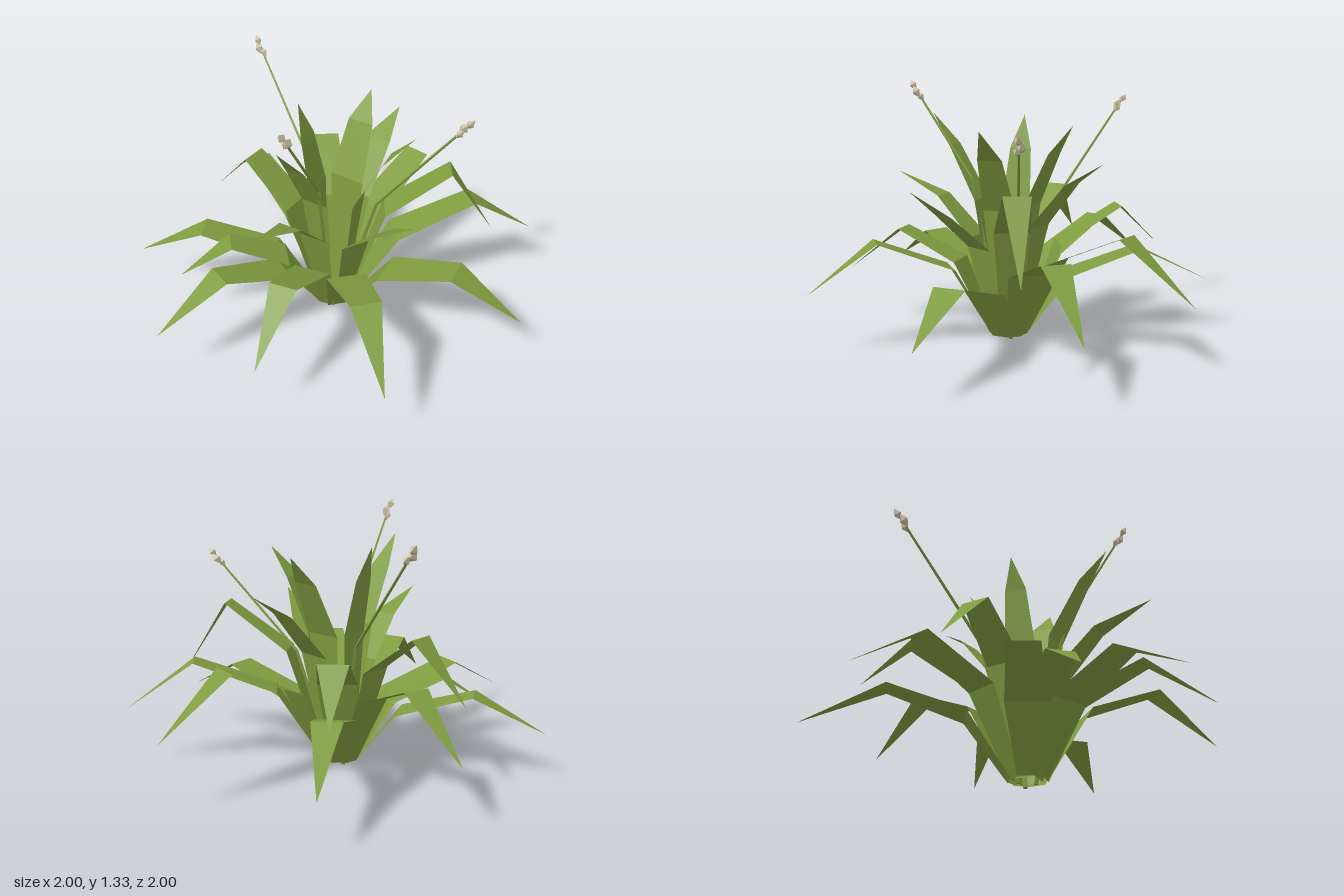
import * as THREE from 'three';

const leafGreen = new THREE.MeshStandardMaterial({ color: 0x7f9c40, flatShading: true, side: THREE.DoubleSide });
leafGreen.name = 'leaf green';
const budBeige = new THREE.MeshStandardMaterial({ color: 0xcabf9f, flatShading: true });
budBeige.name = 'bud beige';

// Point on the ground that all leaves grow out from
const crown = new THREE.Vector3(-0.03, 0, 0.05);

// Folded strap leaf: narrow foot, wide middle, bend, pointed tip
function makeLeaf([tipX, tipY, tipZ, bendReach, bendY, width], footReach) {
  const reach = Math.hypot(tipX - crown.x, tipZ - crown.z);
  const dx = (tipX - crown.x) / reach, dz = (tipZ - crown.z) / reach;
  const rows = [
    [footReach, 0.02, width * 0.48],
    [0.03 + bendReach * 0.4, bendY * 0.72, width],
    [bendReach, bendY, width * 0.74],
    [reach, tipY, 0],
  ];
  const points = [], index = [];
  for (const [r, y, w] of rows)
    for (const side of [-0.5, 0.5])
      points.push(crown.x + dx * r - dz * w * side, y, crown.z + dz * r + dx * w * side);
  for (let i = 0; i < 3; i++) {
    const a = i * 2;
    index.push(a, a + 2, a + 1);
    if (i < 2) index.push(a + 1, a + 2, a + 3);
  }
  const geometry = new THREE.BufferGeometry();
  geometry.setAttribute('position', new THREE.Float32BufferAttribute(points, 3));
  geometry.setIndex(index);
  geometry.computeVertexNormals();
  return new THREE.Mesh(geometry, leafGreen);
}

// Straight stem section between two points
function makeRod(from, to, r0, r1) {
  const geometry = new THREE.CylinderGeometry(r1, r0, from.distanceTo(to), 4);
  const rod = new THREE.Mesh(geometry, leafGreen);
  rod.position.copy(from).add(to).multiplyScalar(0.5);
  rod.quaternion.setFromUnitVectors(new THREE.Vector3(0, 1, 0), to.clone().sub(from).normalize());
  rod.name = 'stemSection';
  return rod;
}

// Kinked stem with a cluster of faceted buds
function makeFlowerStem([kink, end]) {
  const group = new THREE.Group();
  const k = new THREE.Vector3(...kink), e = new THREE.Vector3(...end);
  const foot = crown.clone().lerp(new THREE.Vector3(k.x, 0, k.z), 0.2);
  group.add(makeRod(foot, k, 0.013, 0.01), makeRod(k, e, 0.009, 0.006));
  const dir = e.clone().sub(k).normalize();
  const across = new THREE.Vector3(0, 1, 0).cross(dir).normalize();
  for (const [along, aside, size] of [[-0.028, -0.008, 0.02], [0, 0.012, 0.024], [0.042, -0.003, 0.021]]) {
    const bud = new THREE.Mesh(new THREE.OctahedronGeometry(size), budBeige);
    bud.scale.y = 1.5;
    bud.position.copy(e).addScaledVector(dir, along).addScaledVector(across, aside);
    bud.quaternion.setFromUnitVectors(new THREE.Vector3(0, 1, 0), dir);
    bud.name = 'bud';
    group.add(bud);
  }
  return group;
}

export function createModel() {
  const model = new THREE.Group();
  model.name = 'plant';

  // tip x, y, z, bend reach, bend height, width
  const droopingLeaves = [
    [0.13, 0.34, -1.0, 0.70, 0.62, 0.19],
    [0.75, 0.30, -0.74, 0.75, 0.56, 0.19],
    [1.0, 0.24, -0.07, 0.685, 0.43, 0.22],
    [0.72, 0.30, 0.76, 0.69, 0.55, 0.20],
    [0.15, 0.30, 0.95, 0.595, 0.55, 0.19],
    [-0.40, 0.27, 1.0, 0.665, 0.47, 0.20],
    [-0.60, 0.28, 0.61, 0.53, 0.46, 0.19],
    [-0.96, 0.24, 0.53, 0.685, 0.42, 0.20],
    [-1.0, 0.32, -0.27, 0.67, 0.57, 0.18],
    [-0.68, 0.26, -0.83, 0.69, 0.46, 0.20],
  ];
  const middleLeaves = [
    [-0.80, 0.46, 0.05, 0.50, 0.75, 0.19],
    [-0.53, 0.46, -0.59, 0.58, 0.69, 0.20],
    [0.66, 0.47, -0.40, 0.59, 0.84, 0.18],
    [0.55, 0.83, 0.25, 0.42, 0.69, 0.18],
  ];
  const uprightLeaves = [
    [0.39, 1.11, -0.03, 0.285, 0.96, 0.17],
    [-0.22, 1.15, 0.06, 0.14, 0.98, 0.16],
    [-0.03, 1.12, -0.31, 0.26, 0.98, 0.19],
    [0.03, 0.95, -0.50, 0.38, 0.84, 0.19],
    [-0.02, 1.16, 0.50, 0.32, 1.0, 0.15],
    [0.01, 0.84, 0.71, 0.385, 0.73, 0.17],
  ];
  const addLeaves = (name, list, footReach) => {
    for (const spec of list) {
      const leaf = makeLeaf(spec, footReach);
      leaf.name = name;
      model.add(leaf);
    }
  };
  addLeaves('droopingLeaf', droopingLeaves, 0.09);
  addLeaves('middleLeaf', middleLeaves, 0.08);
  addLeaves('uprightLeaf', uprightLeaves, 0.06);

  // kink, end
  const stems = [
    [[0.02, 0.83, 0.24], [0.065, 1.27, 0.54]],
    [[-0.25, 0.68, -0.09], [-0.70, 1.19, -0.27]],
    [[0.14, 0.60, -0.10], [0.50, 1.06, -0.30]],
  ];
  for (const spec of stems) {
    const stem = makeFlowerStem(spec);
    stem.name = 'flowerStem';
    model.add(stem);
  }
  return model;
}
